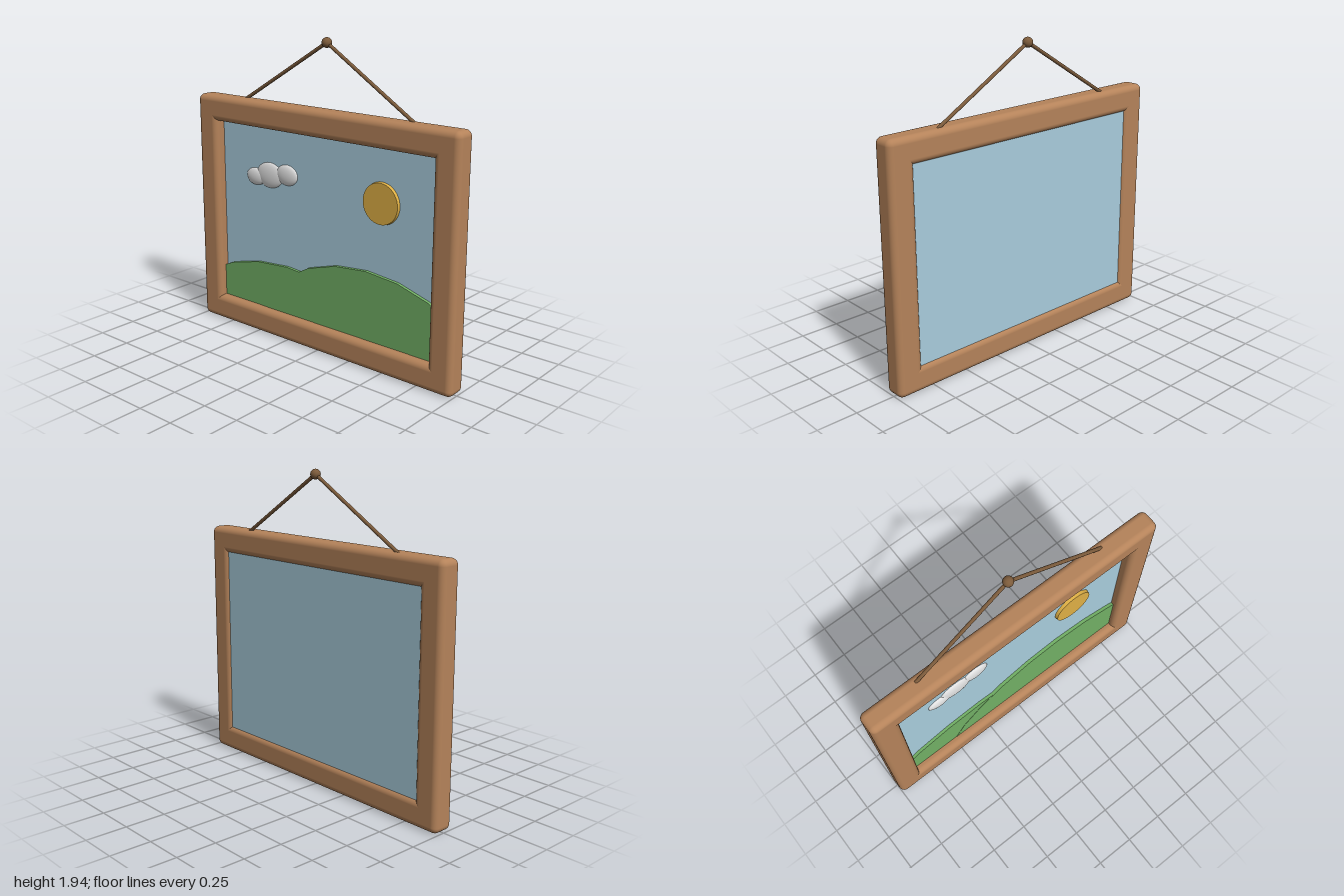
import * as THREE from 'three';
import { RoundedBoxGeometry } from 'three/addons/geometries/RoundedBoxGeometry.js';

const material = (name, color) => {
  const m = new THREE.MeshStandardMaterial({ color });
  m.name = name;
  return m;
};

export function createModel() {
  const group = new THREE.Group();
  const wood = material('wood', 0xb5835a);
  const sky = material('sky blue', 0xa9cddd);
  const grass = material('grass green', 0x72b065);
  const gold = material('sun gold', 0xdfb045);
  const white = material('cloud white', 0xe2e2e2);
  const cord = material('cord brown', 0x7d5c3c);

  const add = (name, geometry, mat, x = 0, y = 0, z = 0) => {
    const mesh = new THREE.Mesh(geometry, mat);
    mesh.name = name;
    mesh.position.set(x, y, z);
    group.add(mesh);
    return mesh;
  };

  // Frame: full-width rails with the side posts running into them
  const W = 0.165, H = 1.525, D = 0.14, R = 0.038;
  const rail = new RoundedBoxGeometry(2, W, D, 5, R);
  const post = new RoundedBoxGeometry(W, H - W, D, 5, R);
  add('topRail', rail, wood, 0, H - W / 2);
  add('bottomRail', rail, wood, 0, W / 2);
  add('leftPost', post, wood, 1 - W / 2, H / 2);
  add('rightPost', post, wood, W / 2 - 1, H / 2);

  // Picture panel, set towards the back of the frame
  add('skyPanel', new THREE.BoxGeometry(1.74, 1.27, 0.05), sky, 0, H / 2, -0.028);

  // Hills: faceted ellipse tops, cut off behind the frame
  const hill = (name, cx, top, rx, ry, depth) => {
    const points = [];
    for (let i = -6; i <= 6; i++) {
      const a = (i * Math.PI) / 12;
      points.push([cx + rx * Math.sin(a), top - ry * (1 - Math.cos(a))]);
    }
    const edge = 0.86, base = 0.13;
    const clipped = [];
    points.forEach((p, i) => {
      const q = points[i - 1];
      if (q) {
        // Insert a point where the outline crosses either side or the base
        [[0, -edge], [0, edge], [1, base]]
          .map(([axis, v]) => (v - q[axis]) / (p[axis] - q[axis]))
          .filter((t) => t > 0 && t < 1)
          .sort((a, b) => a - b)
          .forEach((t) => clipped.push([q[0] + (p[0] - q[0]) * t, q[1] + (p[1] - q[1]) * t]));
      }
      clipped.push(p);
    });
    const inside = clipped.filter(([x, y]) => Math.abs(x) <= edge + 1e-6 && y >= base - 1e-6);
    const outline = [[inside[0][0], base - 0.01], ...inside, [inside[inside.length - 1][0], base - 0.01]];
    const shape = new THREE.Shape(outline.map(([x, y]) => new THREE.Vector2(x, y)));
    add(name, new THREE.ExtrudeGeometry(shape, { depth, bevelEnabled: false }), grass, 0, 0, -0.01);
  };
  hill('nearHill', -0.28, 0.48, 0.97, 0.56, 0.026);
  hill('farHill', 0.35, 0.6, 0.9, 0.64, 0.028);

  // Sun disc
  const sun = add('sun', new THREE.CylinderGeometry(0.124, 0.128, 0.024, 40), gold, 0.45, 1.03, 0.005);
  sun.rotation.x = Math.PI / 2;

  // Cloud of three flattened puffs
  [[-0.55, 1.03, 0.08, 0.056], [-0.43, 1.055, 0.11, 0.082], [-0.285, 1.077, 0.088, 0.066]]
    .forEach(([x, y, rx, ry], i) => {
      const puff = add('cloudPuff' + (i + 1), new THREE.SphereGeometry(1, 28, 18), white, x, y, -0.003);
      puff.scale.set(rx, ry, 0.022);
    });

  // Hanging cord and knot
  const peak = new THREE.Vector3(0, 1.91, -0.045);
  [['leftCord', 1], ['rightCord', -1]].forEach(([name, side]) => {
    const line = new THREE.LineCurve3(new THREE.Vector3(side * 0.65, 1.515, -0.025), peak);
    add(name, new THREE.TubeGeometry(line, 1, 0.011, 10), cord);
  });
  add('knot', new THREE.SphereGeometry(0.031, 20, 14), cord, peak.x, peak.y, peak.z);

  return group;
}
